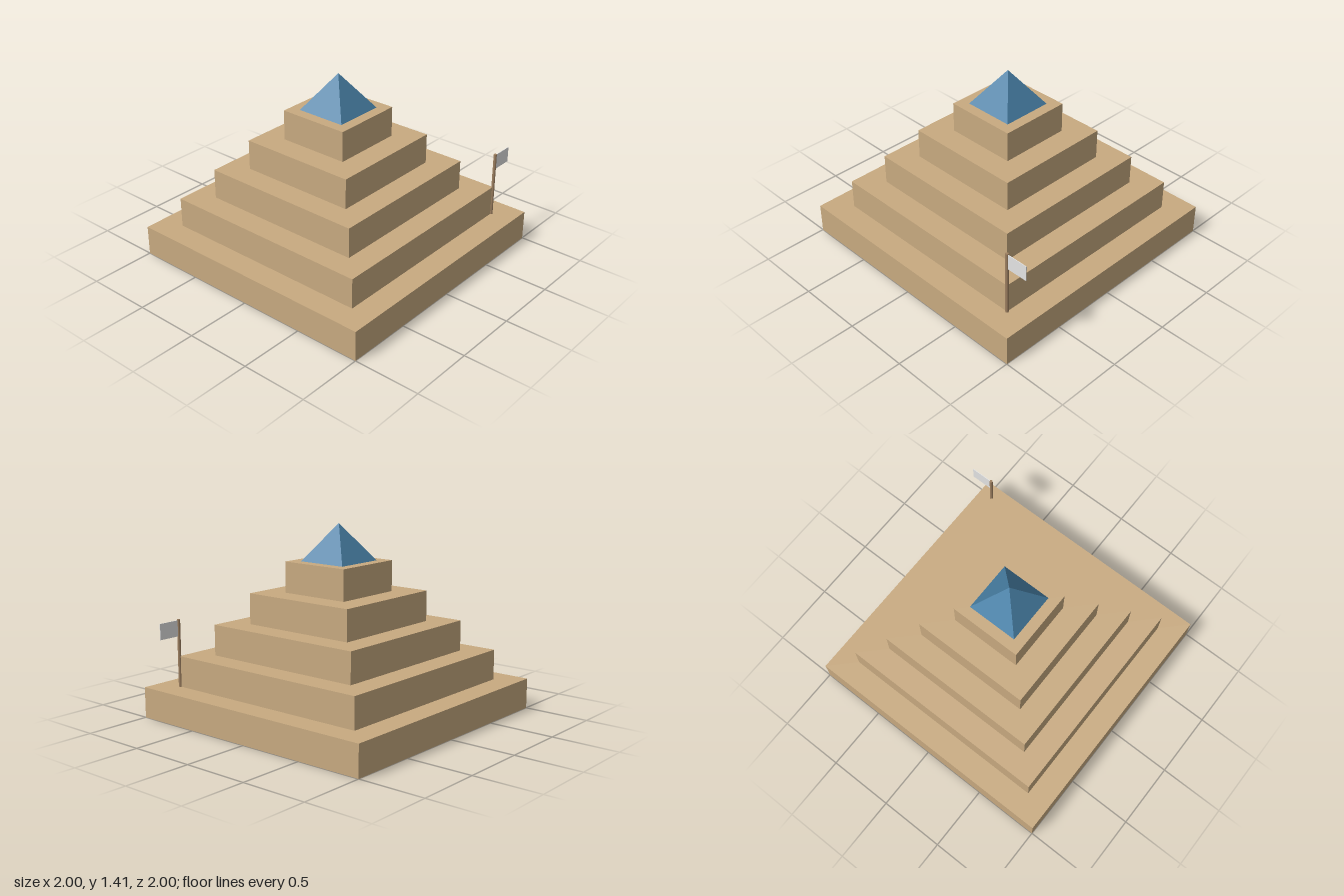
import * as THREE from 'three';

const material = (name, color) => {
  const m = new THREE.MeshStandardMaterial({ color });
  m.name = name;
  return m;
};

export function createModel() {
  const group = new THREE.Group();
  const sand = material('sandstone', 0xc8aa80);
  const blue = material('blue roof', 0x4880a6);
  const wood = material('pole wood', 0xa08262);
  const cloth = material('flag cloth', 0xe4e4e4);

  const add = (name, geometry, mat, x, y, z) => {
    const mesh = new THREE.Mesh(geometry, mat);
    mesh.name = name;
    mesh.position.set(x, y, z);
    group.add(mesh);
  };

  // Five square tiers, each stepping in by the same amount
  const tierHeight = 2.5 / 11;
  const step = 2 / 11;
  for (let i = 0; i < 5; i++) {
    const width = 2 * (1 - i * step);
    add(`tier${i + 1}`, new THREE.BoxGeometry(width, tierHeight, width), sand, 0, (i + 0.5) * tierHeight, 0);
  }

  // Four-sided roof, turned so its faces line up with the tiers
  const roofHeight = 0.273;
  const roof = new THREE.ConeGeometry(0.193 * Math.SQRT2, roofHeight, 4).toNonIndexed();
  roof.rotateY(Math.PI / 4);
  roof.computeVertexNormals();
  add('roof', roof, blue, 0, 5 * tierHeight + roofHeight / 2, 0);

  // Flagpole at the front left corner of the second tier
  const corner = 1 - step;
  const poleHeight = 0.5;
  add('flagPole', new THREE.CylinderGeometry(0.012, 0.012, poleHeight, 8), wood,
    corner, tierHeight + poleHeight / 2, corner);

  // Flag, a thin plate flying outward from the pole
  add('flag', new THREE.BoxGeometry(0.166, 0.118, 0.005), cloth, corner + 0.092, 0.662, corner);

  return group;
}
